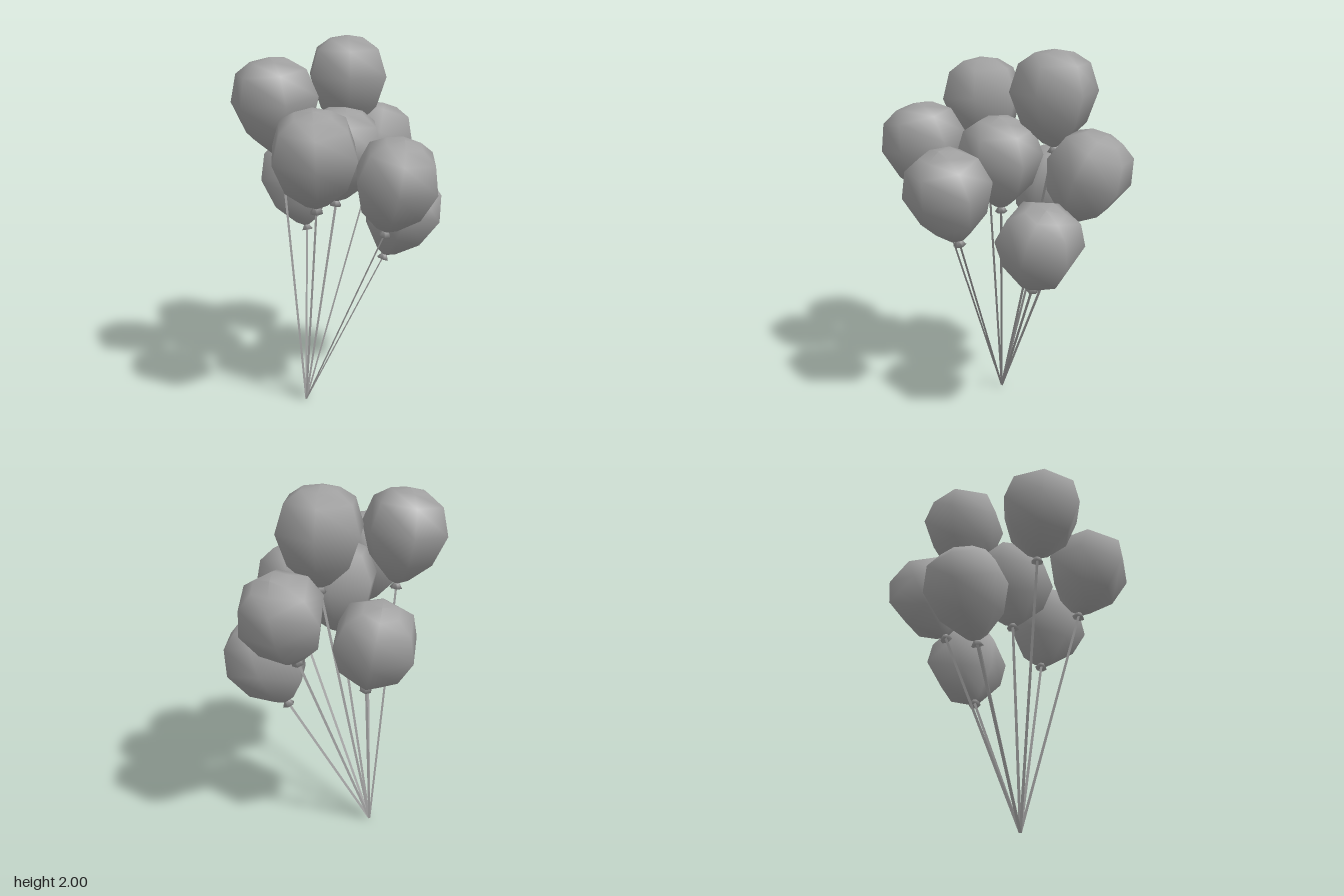
import * as THREE from 'three';

// Each balloon: centre of its widest ring, tip of its knot, turn of its six sides
const BALLOONS = [
  { centre: [0.02, 1.24, -0.38], tip: [0.0, 0.93, -0.29], turn: 14 },
  { centre: [-0.325, 1.71, -0.195], tip: [-0.29, 1.4, -0.185], turn: 30 },
  { centre: [-0.425, 1.5, 0.17], tip: [-0.37, 1.2, 0.13], turn: 15 },
  { centre: [-0.057, 1.34, 0.375], tip: [-0.05, 1.04, 0.3], turn: 12 },
  { centre: [-0.04, 1.45, 0.0], tip: [-0.055, 1.14, -0.03], turn: 12 },
  { centre: [0.187, 1.79, -0.16], tip: [0.19, 1.48, -0.16], turn: 15 },
  { centre: [0.42, 1.41, -0.158], tip: [0.31, 1.13, -0.13], turn: 15 },
  { centre: [0.33, 1.08, 0.12], tip: [0.235, 0.79, 0.06], turn: 15 },
];
const GATHER = new THREE.Vector3(-0.165, 0, -0.16);
const SIDES = 6;

// Profiles as [radius, height], with height 0 at the widest ring
const BODY = [[0.014, -0.285], [0.06, -0.262], [0.17, -0.16], [0.229, 0], [0.183, 0.14], [0.1, 0.193], [0, 0.21]];
const KNOT = [[0, -0.3], [0.034, -0.312], [0.014, -0.282]];

const lathe = (profile) =>
  new THREE.LatheGeometry(profile.map(([r, y]) => new THREE.Vector2(r, y)), SIDES);

// Flat ribbon between two points, its width along x
function ribbon(from, to, width) {
  const h = width / 2;
  const geometry = new THREE.BufferGeometry();
  geometry.setAttribute('position', new THREE.Float32BufferAttribute([
    from.x - h, from.y, from.z, from.x + h, from.y, from.z,
    to.x + h, to.y, to.z, to.x - h, to.y, to.z,
  ], 3));
  geometry.setIndex([0, 1, 2, 0, 2, 3]);
  geometry.computeVertexNormals();
  return geometry;
}

export function createModel() {
  const model = new THREE.Group();
  model.name = 'balloonBunch';
  const grey = new THREE.MeshStandardMaterial({ color: 0xa0a0a0, side: THREE.DoubleSide });
  grey.name = 'grey';

  const bodyGeometry = lathe(BODY);
  const knotGeometry = lathe(KNOT);
  const up = new THREE.Vector3(0, 1, 0);

  const add = (parent, geometry, name) => {
    const mesh = new THREE.Mesh(geometry, grey);
    mesh.name = name;
    parent.add(mesh);
  };

  BALLOONS.forEach(({ centre, tip, turn }, i) => {
    const c = new THREE.Vector3(...centre);
    const t = new THREE.Vector3(...tip);
    const axis = c.clone().sub(t).normalize();

    // Balloon leaning along the line from knot to centre
    const balloon = new THREE.Group();
    balloon.name = `balloon${i + 1}`;
    balloon.position.copy(c);
    balloon.quaternion.setFromUnitVectors(up, axis);
    balloon.rotateY(THREE.MathUtils.degToRad(turn));
    add(balloon, bodyGeometry, 'balloonBody');
    add(balloon, knotGeometry, 'balloonKnot');
    model.add(balloon);

    // String from the gathering point to the knot
    const end = c.clone().addScaledVector(axis, -0.295);
    add(model, ribbon(GATHER, end, 0.016), `string${i + 1}`);
  });

  return model;
}
